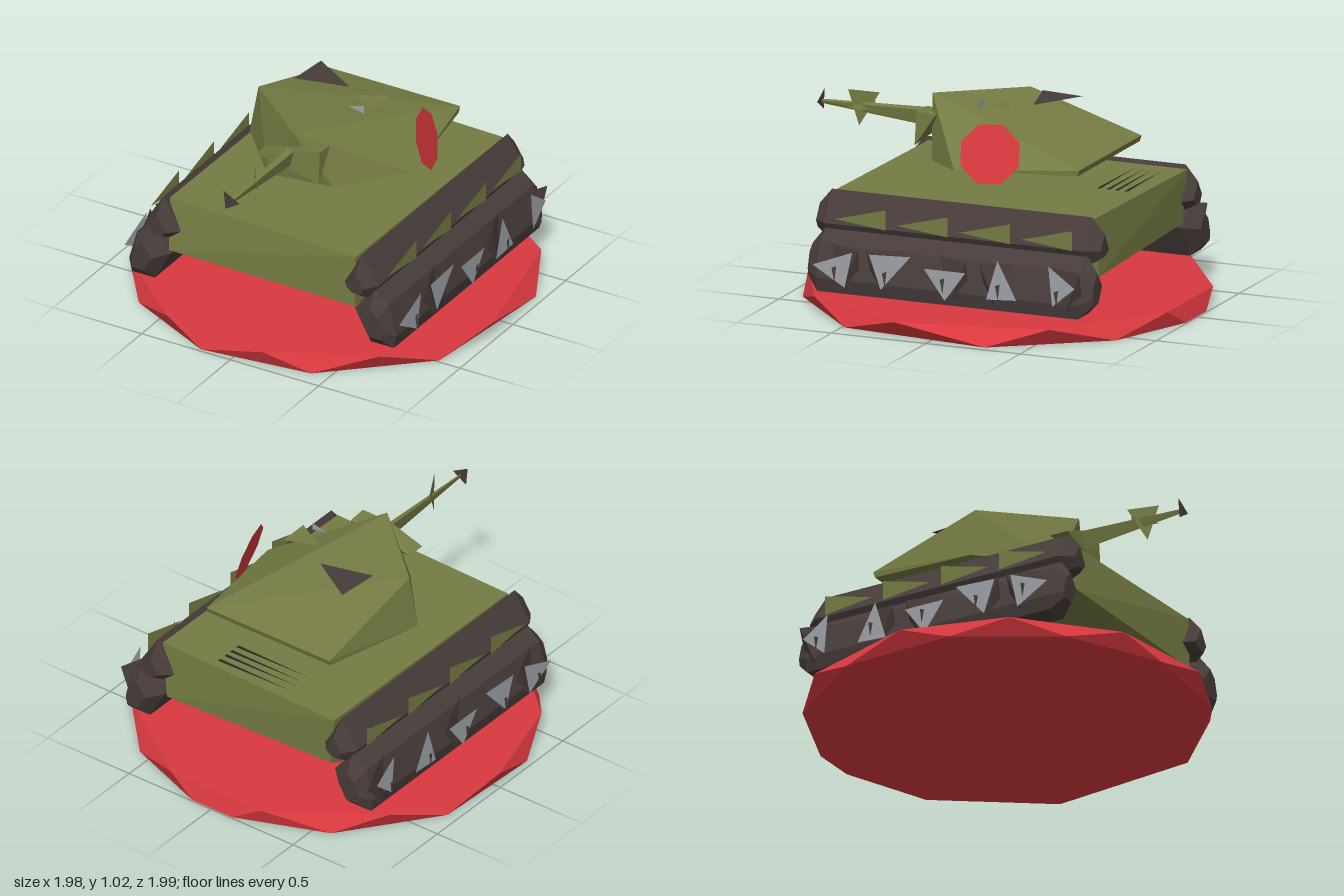
import * as THREE from 'three';
import { ConvexGeometry } from 'three/addons/geometries/ConvexGeometry.js';

const paint = (name, color) => new THREE.MeshStandardMaterial({ name, color, side: THREE.DoubleSide });

export function createModel() {
  const olive = paint('olive', 0x757b43);
  const red = paint('red', 0xd9393f);
  const brown = paint('dark brown', 0x473c39);
  const grey = paint('steel grey', 0x9da2a8);
  const black = paint('louver black', 0x2b2725);
  const model = new THREE.Group();
  model.name = 'tank';

  const add = (name, geometry, material, parent = model) => {
    const mesh = new THREE.Mesh(geometry, material);
    mesh.name = name;
    parent.add(mesh);
    return mesh;
  };
  // Faceted solid through a few corners
  const solid = (name, material, corners, parent) =>
    add(name, new ConvexGeometry(corners.map(c => new THREE.Vector3(...c))), material, parent);
  // Single flat plate with three corners
  const plate = (name, material, corners, parent) => {
    const g = new THREE.BufferGeometry();
    g.setAttribute('position', new THREE.Float32BufferAttribute(corners.flat(), 3));
    g.computeVertexNormals();
    return add(name, g, material, parent);
  };

  // Round base with staggered top and bottom corners
  const ring = (degrees, y) => degrees.map(d => {
    const a = THREE.MathUtils.degToRad(d);
    return [Math.sin(a), y, Math.cos(a)];
  });
  solid('base', red, [
    ...ring([10, 43, 80, 125, 164, 196, 232, 270, 302, 336], 0.085),
    ...ring([24, 61, 107, 145, 173, 187, 216, 250, 285, 318, 350], 0),
  ]);

  // Hull
  solid('hull', olive, [
    [-0.53, 0.585, -0.71], [0.54, 0.58, -0.68], [0.53, 0.58, 0.7], [-0.54, 0.585, 0.665],
    [-0.5, 0.32, -0.7], [0.5, 0.29, -0.7], [0.53, 0.31, 0.71], [-0.52, 0.32, 0.71],
    [-0.5, 0.28, -0.62], [0.5, 0.28, -0.62], [0.5, 0.28, 0.62], [-0.5, 0.28, 0.62],
  ]);

  // Running gear, mirrored left and right
  const lobe = (name, section, parent) => {
    const cx = section.reduce((s, p) => s + p[0], 0) / section.length;
    const cy = section.reduce((s, p) => s + p[1], 0) / section.length;
    const corners = [];
    for (const [z, k] of [[-0.755, 0.5], [-0.69, 1], [0.69, 1], [0.755, 0.5]])
      for (const [x, y] of section) corners.push([cx + (x - cx) * k, cy + (y - cy) * k, z]);
    solid(name, brown, corners, parent);
  };
  const wheels = [
    [[0.70, 0.27], [0.49, 0.35], [0.53, 0.17]],
    [[0.40, 0.35], [0.18, 0.36], [0.34, 0.18]],
    [[0.11, 0.31], [-0.11, 0.31], [0, 0.16]],
    [[-0.28, 0.39], [-0.22, 0.19], [-0.38, 0.20]],
    [[-0.69, 0.29], [-0.55, 0.39], [-0.57, 0.19]],
  ];
  for (const side of [1, -1]) {
    const gear = new THREE.Group();
    gear.name = side > 0 ? 'leftTrack' : 'rightTrack';
    model.add(gear);
    const at = (x, pts) => pts.map(([z, y]) => [side * x, y, z]);

    lobe('upperTrack', [[0.56, 0.6], [0.655, 0.45], [0.61, 0.37], [0.52, 0.38], [0.46, 0.43]]
      .map(([x, y]) => [side * x, y]), gear);
    lobe('lowerTrack', [[0.63, 0.43], [0.71, 0.36], [0.755, 0.2], [0.74, 0.13], [0.61, 0.13], [0.52, 0.29]]
      .map(([x, y]) => [side * x, y]), gear);

    // Wheels with hubs
    wheels.forEach((w, i) => {
      plate('wheel', grey, at(0.775, w), gear);
      const z = (w[0][0] + w[1][0] + w[2][0]) / 3;
      plate('hub', brown, at(0.8, [[z - 0.01, 0.28], [z + 0.015, 0.27], [z, 0.2]]), gear);
      const s = i % 2 ? 1 : -1;
      solid('wheelBack', brown, [
        [side * 0.77, 0.36, z + 0.11 * s], [side * 0.69, 0.37, z - 0.1 * s],
        [side * 0.765, 0.17, z + 0.03 * s], [side * 0.7, 0.15, z + 0.1 * s],
      ], gear);
    });

    // Saw-tooth skirt plates
    for (let i = 0; i < 4; i++) {
      const z = 0.63 - i * 0.33;
      plate('skirt', olive, at(0.67, [[z, 0.48], [z - 0.27, 0.55], [z - 0.27, 0.45]]), gear);
    }
  }

  // Wedge turret
  solid('turret', olive, [
    [-0.40, 0.95, 0.06], [0, 0.978, 0.405], [0.48, 0.735, 0.08],
    [-0.37, 0.775, -0.54], [0.38, 0.775, -0.54], [-0.37, 0.745, -0.53], [0.38, 0.745, -0.53],
    [-0.45, 0.69, 0.06], [-0.16, 0.69, 0.38], [0.18, 0.69, 0.33],
  ]);
  solid('mantlet', olive, [
    [-0.18, 0.83, 0.45], [0.16, 0.92, 0.42], [0.16, 0.75, 0.43],
    [-0.18, 0.83, 0.35], [0.16, 0.91, 0.32], [0, 0.91, 0.43],
  ]);

  // Gun with muzzle plates
  solid('barrel', olive, [
    [-0.015, 0.9, 0.42], [0.02, 0.89, 0.42], [0.005, 0.81, 0.42],
    [-0.006, 0.885, 0.99], [0.006, 0.88, 0.99], [0, 0.865, 0.99],
  ]);
  plate('muzzleBrake', olive, [[0.04, 0.96, 0.835], [-0.035, 0.94, 0.7], [0.01, 0.775, 0.79]]);
  plate('muzzleFin', olive, [[-0.03, 0.9, 0.72], [0.05, 0.87, 0.83], [-0.01, 0.85, 0.72]]);
  plate('muzzle', brown, [[-0.04, 0.93, 0.995], [0.05, 0.88, 0.995], [-0.03, 0.83, 0.995]]);

  // Hatches and sight on the roof
  plate('hatch', brown, [[-0.25, 0.972, -0.28], [-0.27, 0.975, -0.06], [0, 0.972, -0.13]]);
  plate('roofFlap', olive, [[0.08, 0.998, -0.04], [0.24, 1.0, 0.05], [0.24, 0.998, -0.11]]);
  plate('sight', grey, [[0.11, 0.995, 0.07], [0.2, 0.978, 0.07], [0.2, 1.02, 0.068]]);

  // Tilted side disc
  const disc = add('sideDisc', new THREE.CircleGeometry(0.155, 8, Math.PI / 8), red);
  disc.position.set(0.455, 0.83, -0.1);
  disc.lookAt(1.455, 1.11, -0.38);

  // Engine louvers
  for (const z of [-0.7, -0.65, -0.605, -0.555])
    plate('louver', black, [[-0.26, 0.641, z], [0.18, 0.641, z + 0.01], [0.18, 0.641, z - 0.01]]);

  return model;
}
